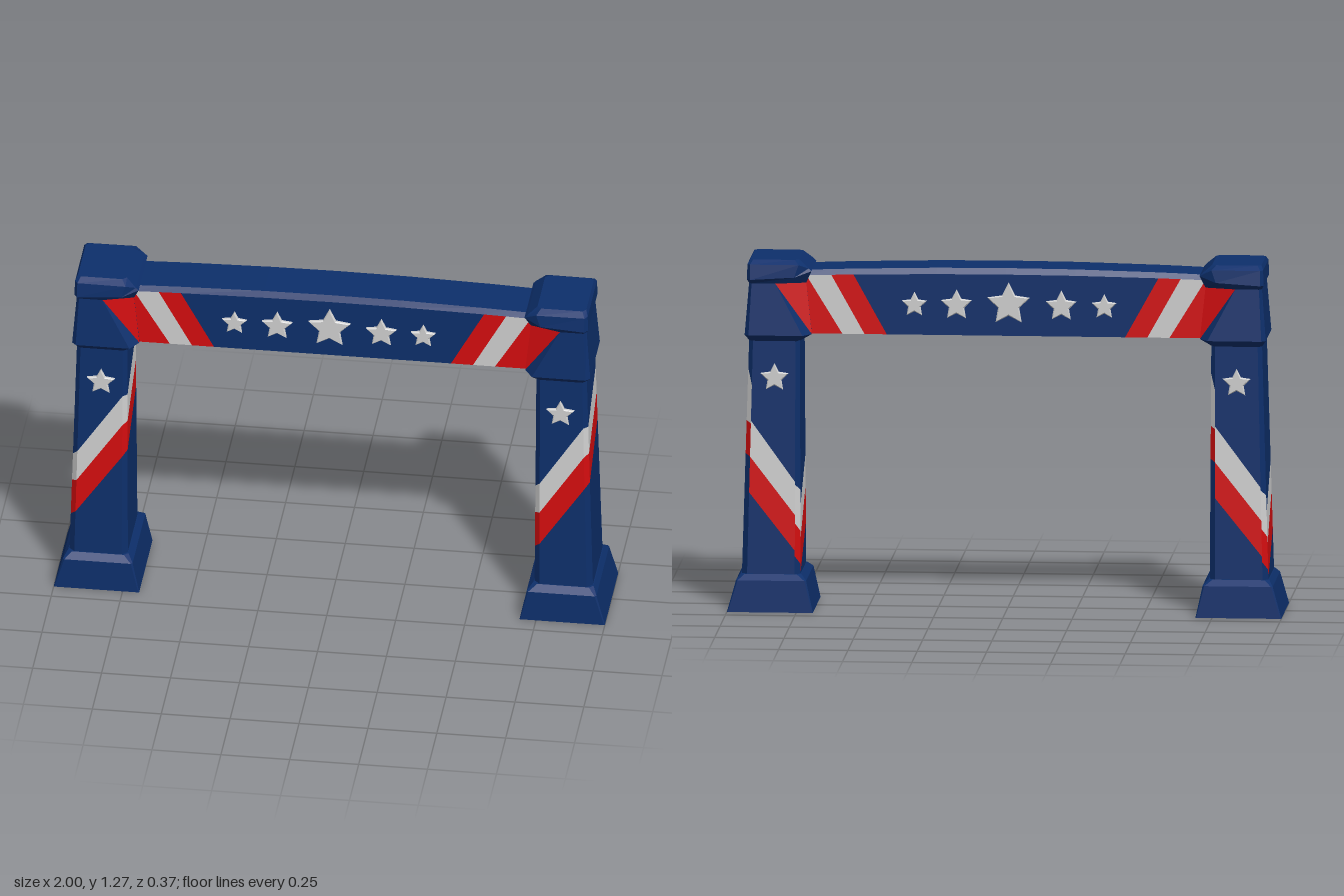
import * as THREE from 'three';

function material(name, color) {
  const m = new THREE.MeshStandardMaterial({ color });
  m.name = name;
  return m;
}

// Collects flat faces by colour, optionally mirrored in x or z.
class Skin {
  constructor() { this.faces = { navy: [], red: [], white: [] }; }
  face(color, pts, sx = 1, sz = 1) {
    const p = pts.map(([x, y, z]) => [x * sx, y, z * sz]);
    if (sx * sz < 0) p.reverse();
    for (let i = 1; i < p.length - 1; i++) this.faces[color].push(...p[0], ...p[i], ...p[i + 1]);
  }
  loft(rings, sx = 1, skip = () => false) {
    for (let r = 0; r < rings.length - 1; r++) {
      const a = rings[r], b = rings[r + 1], n = a.length;
      for (let i = 0; i < n; i++) {
        const j = (i + 1) % n;
        if (!skip(r, i)) this.face('navy', [a[i], a[j], b[j], b[i]], sx);
      }
    }
  }
  build(name, mats) {
    const group = new THREE.Group();
    group.name = name;
    for (const [color, data] of Object.entries(this.faces)) {
      if (!data.length) continue;
      const g = new THREE.BufferGeometry();
      g.setAttribute('position', new THREE.Float32BufferAttribute(data, 3));
      g.computeVertexNormals();
      const mesh = new THREE.Mesh(g, mats[color]);
      mesh.name = `${name} ${color}`;
      group.add(mesh);
    }
    return group;
  }
}

// Rectangle with cut corners, starting at the front and going round by +x.
const rect8 = (lo, hi, z, c, y) => [
  [lo + c, y, z], [hi - c, y, z], [hi, y, z - c], [hi, y, c - z],
  [hi - c, y, -z], [lo + c, y, -z], [lo, y, c - z], [lo, y, z - c],
];
// Rectangle for the leg on side s, given its inner and outer x.
const legRing = (s, xi, xo, z, c, y) => (s > 0 ? rect8(xi, xo, z, c, y) : rect8(-xo, -xi, z, c, y));
// Ring from its front half, mirrored to the back.
const fullRing = half => [...half, ...half.map(([x, y, z]) => [x, y, -z]).reverse()];

// Heights of the stripe edges at the start and end of each post face.
const STRIPES = [
  [[0.30, 0.43, 0.55], [0.54, 0.67, 0.79]],
  [[0.54, 0.67, 0.79], [0.56, 0.68, 0.79]],
  [[0.56, 0.68, 0.79], [0.69, 0.80, 0.91]],
  [[0.57, 0.69, 0.88], [0.56, 0.68, 0.82]],
  [[0.43, 0.56, 0.69], [0.22, 0.35, 0.47]],
  [[0.20, 0.32, 0.46], [0.17, 0.29, 0.44]],
  [[0.14, 0.26, 0.38], [0.28, 0.42, 0.53]],
  [[0.28, 0.42, 0.53], [0.30, 0.43, 0.55]],
];

function makePost(s, mats) {
  const skin = new Skin();
  const y0 = 0.12, y1 = 0.99;
  const low = legRing(s, 0.738, 0.95, 0.15, 0.02, y0);
  const high = legRing(s, 0.742, 0.925, 0.125, 0.015, y1);
  const at = (i, y) => {
    const t = (y - y0) / (y1 - y0);
    return low[i].map((v, k) => v + (high[i][k] - v) * t);
  };
  STRIPES.forEach(([start, end], i) => {
    const j = (i + 1) % 8;
    const a = [y0, ...start, y1], b = [y0, ...end, y1];
    ['navy', 'red', 'white', 'navy'].forEach((color, k) =>
      skin.face(color, [at(i, a[k]), at(j, b[k]), at(j, b[k + 1]), at(i, a[k + 1])]));
  });
  return skin.build('post', mats);
}

function makeBase(s, mats) {
  const skin = new Skin();
  const rings = [
    legRing(s, 0.69, 1.0, 0.183, 0.003, 0),
    legRing(s, 0.715, 0.968, 0.178, 0.006, 0.115),
    legRing(s, 0.735, 0.953, 0.152, 0.015, 0.135),
  ];
  skin.loft(rings);
  skin.face('navy', [...rings[0]].reverse());
  skin.face('navy', rings[2]);
  return skin.build('base', mats);
}

function makeCapital(s, mats) {
  const skin = new Skin();
  const rings = [
    [[0.74, 0.98, 0.10], [0.755, 0.98, 0.125], [0.91, 0.98, 0.125], [0.925, 0.98, 0.11]],
    [[0.70, 1.003, 0.10], [0.73, 1.003, 0.147], [0.925, 1.003, 0.147], [0.94, 1.003, 0.13]],
    [[0.72, 1.19, 0.097], [0.83, 1.19, 0.13], [0.915, 1.19, 0.13], [0.925, 1.19, 0.115]],
    [[0.70, 1.235, 0.12], [0.76, 1.215, 0.145], [0.92, 1.205, 0.147], [0.932, 1.205, 0.13]],
    [[0.71, 1.245, 0.12], [0.745, 1.26, 0.142], [0.92, 1.26, 0.14], [0.93, 1.26, 0.125]],
    [[0.745, 1.275, 0.10], [0.76, 1.275, 0.115], [0.91, 1.275, 0.115], [0.922, 1.275, 0.10]],
  ].map(fullRing);
  skin.loft(rings, s, (r, i) => r === 1 && (i === 0 || i === 6));
  skin.face('navy', rings[5], s);
  // Slanted inner corners, where the end stripe of the beam runs out
  const [b, t] = [rings[1], rings[2]];
  for (const sz of [1, -1]) {
    skin.face('red', [b[0], t[1], t[0]], s, sz);
    skin.face('navy', [b[0], b[1], t[1]], s, sz);
  }
  return skin.build('capital', mats);
}

function makeBeam(mats) {
  const skin = new Skin();
  const yb = 1.005, z = 0.096, zt = 0.084;
  const edge = x => 1.228 - 0.012 * (x / 0.74) ** 2;
  const crown = x => 1.25 - 0.016 * (x / 0.74) ** 2;
  // Panel limits as x at the bottom and top, then the colours of face and underside
  const limits = [[0, 0], [0.25, 0.25], [0.43, 0.55], [0.51, 0.63], [0.59, 0.72], [0.76, 0.76]];
  const colors = ['navy', 'navy', 'red', 'white', 'red'];
  for (const sx of [1, -1]) {
    colors.forEach((color, i) => {
      const [b0, t0] = limits[i], [b1, t1] = limits[i + 1];
      for (const sz of [1, -1]) {
        skin.face(color, [[b0, yb, z], [b1, yb, z], [t1, edge(t1), z], [t0, edge(t0), z]], sx, sz);
        skin.face('navy', [[t0, edge(t0), z], [t1, edge(t1), z], [t1, crown(t1), zt], [t0, crown(t0), zt]], sx, sz);
      }
      skin.face('navy', [[t0, crown(t0), zt], [t1, crown(t1), zt], [t1, crown(t1), -zt], [t0, crown(t0), -zt]], sx);
      skin.face(i < 2 ? 'navy' : 'red', [[b0, yb, -z], [b1, yb, -z], [b1, yb, z], [b0, yb, z]], sx);
    });
  }
  return skin.build('beam', mats);
}

// Raised five-pointed star
function makeStar(radius, mat) {
  const shape = new THREE.Shape();
  for (let i = 0; i < 10; i++) {
    const r = (i % 2 ? 0.5 : 1) * radius, a = Math.PI / 2 + i * Math.PI / 5;
    shape[i ? 'lineTo' : 'moveTo'](r * Math.cos(a), r * Math.sin(a));
  }
  const g = new THREE.ExtrudeGeometry(shape, {
    depth: 0.008, bevelEnabled: true, bevelThickness: 0.004, bevelSize: 0.004, bevelOffset: -0.004, bevelSegments: 1,
  });
  const star = new THREE.Mesh(g, mat);
  star.name = 'star';
  return star;
}

export function createModel() {
  const mats = {
    navy: material('navy', 0x0d2f6b),
    red: material('red', 0xd40d0f),
    white: material('white', 0xd0d0d0),
  };
  const model = new THREE.Group();
  model.name = 'archway';
  model.add(makeBeam(mats));

  for (const s of [1, -1]) {
    const leg = new THREE.Group();
    leg.name = s > 0 ? 'leftLeg' : 'rightLeg';
    leg.add(makeBase(s, mats), makePost(s, mats), makeCapital(s, mats));
    model.add(leg);
  }

  // Stars on the front and back of beam and legs: x, y, surface z, radius
  const stars = [
    [-0.355, 1.115, 0.096, 0.047], [-0.2, 1.115, 0.096, 0.058], [-0.01, 1.12, 0.096, 0.08],
    [0.178, 1.115, 0.096, 0.058], [0.33, 1.115, 0.096, 0.047],
    [-0.835, 0.848, 0.129, 0.053], [0.832, 0.848, 0.129, 0.053],
  ];
  for (const [x, y, z, r] of stars) {
    for (const side of [1, -1]) {
      const star = makeStar(r, mats.white);
      star.position.set(x, y, side * z);
      if (side < 0) star.rotation.y = Math.PI;
      model.add(star);
    }
  }
  return model;
}
